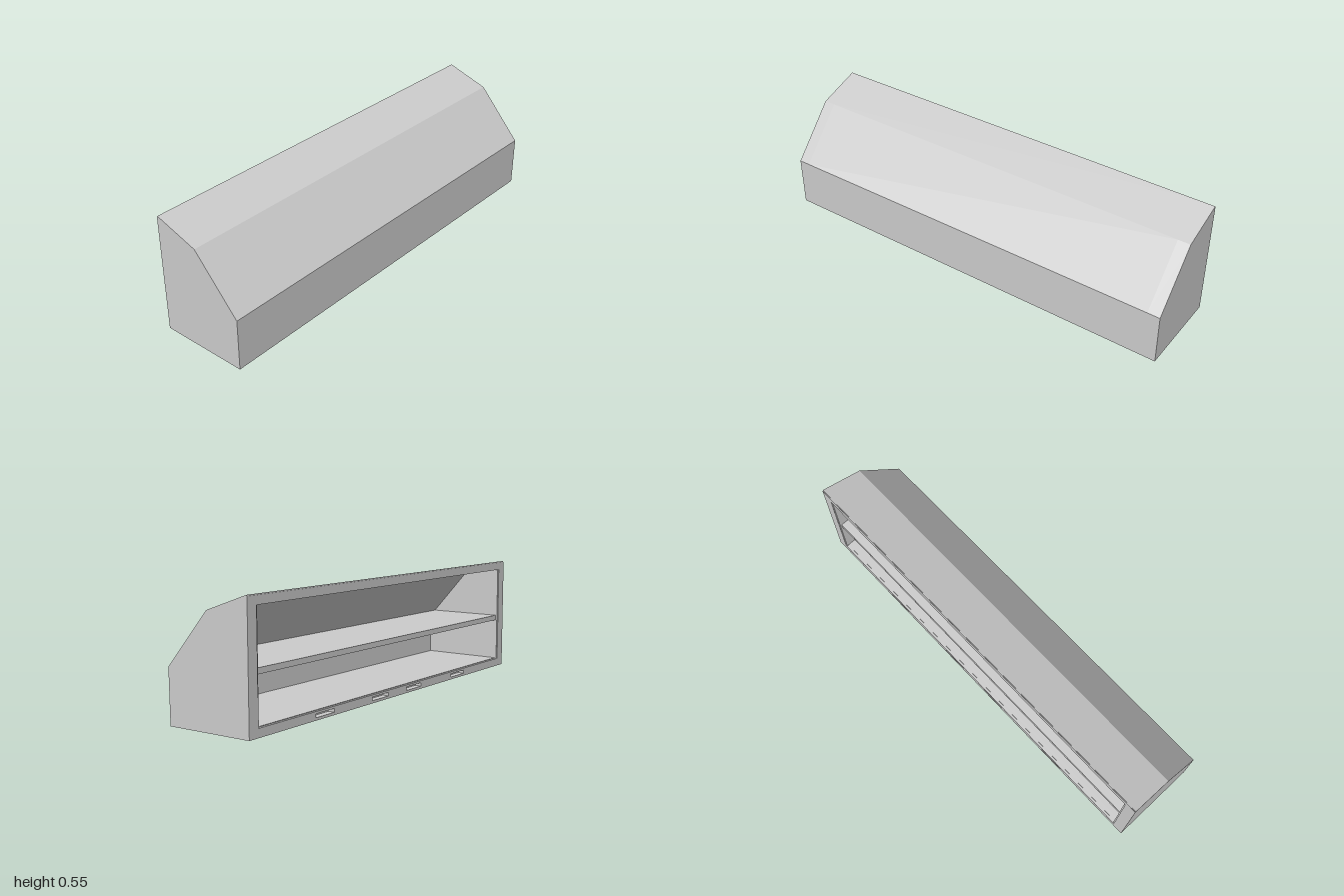
import * as THREE from 'three';

const material = new THREE.MeshStandardMaterial({ color: 0xcccccc, flatShading: true });

const toPoints = (list) => list.map(([x, y]) => new THREE.Vector2(x, y));
const rect = (x0, y0, x1, y1) => toPoints([[x0, y0], [x1, y0], [x1, y1], [x0, y1]]);

export function createModel() {
  const group = new THREE.Group();
  const add = (name, geometry) => {
    const mesh = new THREE.Mesh(geometry, material);
    mesh.name = name;
    group.add(mesh);
  };
  // extrudes an x-y cross-section between two z positions
  const slab = (name, points, z0, z1) => {
    const geometry = new THREE.ExtrudeGeometry(new THREE.Shape(toPoints(points)), { depth: z1 - z0, bevelEnabled: false });
    add(name, geometry.translate(0, 0, z0));
  };
  // extrudes a z-y outline with holes from x towards -x
  const panel = (name, outline, holes, x, depth) => {
    const shape = new THREE.Shape(outline);
    shape.holes = holes.map((hole) => new THREE.Path(hole));
    const geometry = new THREE.ExtrudeGeometry(shape, { depth, bevelEnabled: false });
    add(name, geometry.rotateY(-Math.PI / 2).translate(x, 0, 0));
  };

  const face = -0.208; // top edge of the hood
  const frameBack = -0.2;
  const railBack = -0.18; // bottom of the slots
  const end = 0.942; // half length of the cavity
  const outer = [[0.207, 0], [0.21, 0.24], [-0.003, 0.481], [face, 0.552]];
  const inner = [[face, 0.543], [-0.008, 0.473], [0.2, 0.237], [0.197, 0.044]];

  // folded shell: thick floor with thin back, slope and top
  slab('shell', [[railBack, 0.003], ...outer, ...inner, [railBack, 0.044]], -end, end);

  // thick closed ends
  slab('endPanelBack', [[face, 0.003], ...outer], -1, -end);
  slab('endPanelFront', [[face, 0.003], ...outer], end, 1);

  // middle shelf reaching the sloped wall
  slab('shelf', [[frameBack, 0.245], [0.193, 0.245], [0.171, 0.27], [frameBack, 0.27]], -end, end);

  // lower rail and frame around the opening, sharing four slots
  const slots = [-0.535, -0.135, 0.135, 0.535].map((z) => rect(z - 0.062, 0.015, z + 0.062, 0.031));
  panel('slotRail', rect(-end, 0.003, end, 0.044), slots, railBack, railBack - frameBack);
  panel('openingFrame', rect(-1, 0.003, 1, 0.547), [rect(-0.948, 0.041, 0.948, 0.51), ...slots], frameBack, 0.011);

  return group;
}
